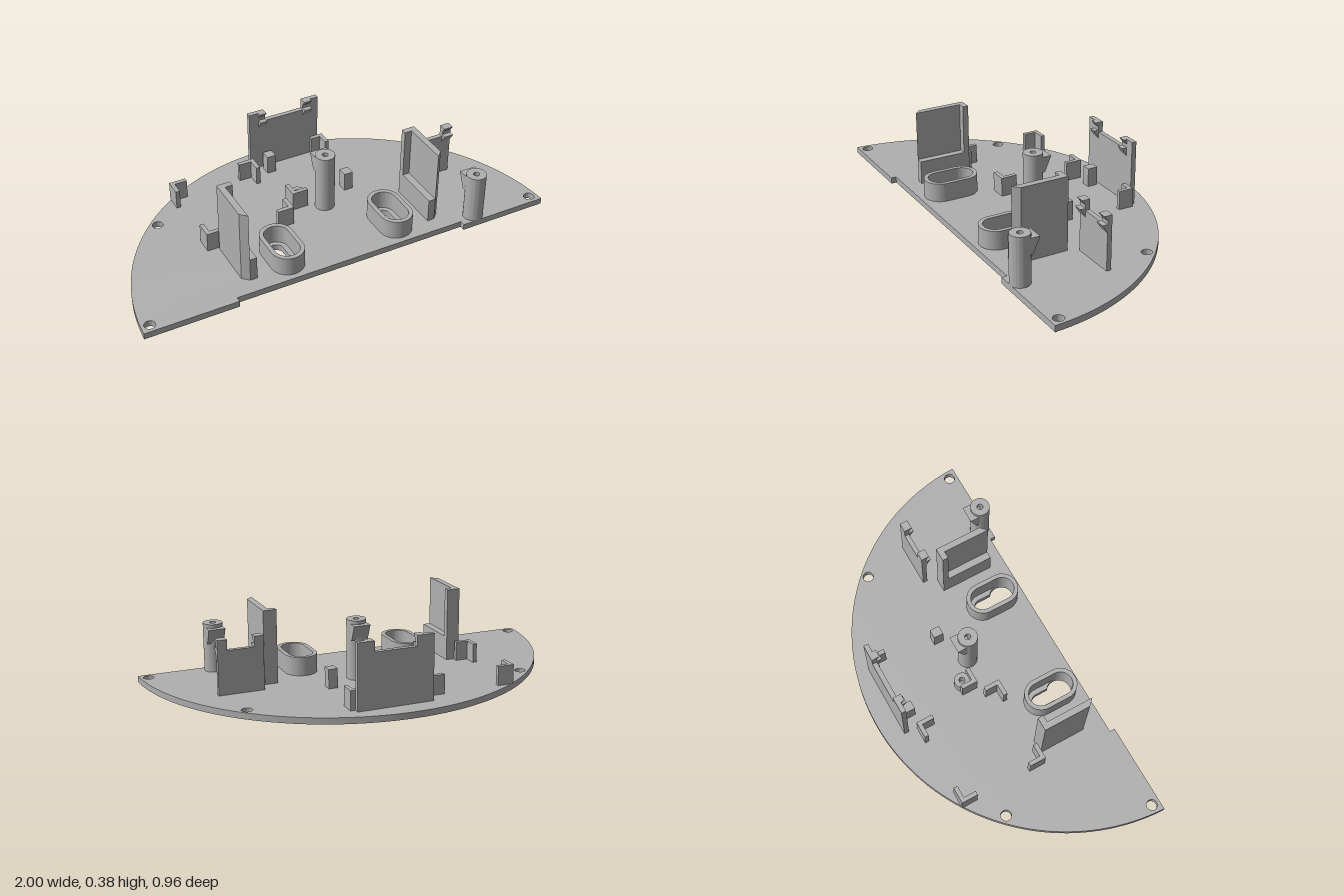
import * as THREE from 'three';
import { toCreasedNormals } from 'three/addons/utils/BufferGeometryUtils.js';

const grey = new THREE.MeshStandardMaterial({ color: 0xb0b0b0 });
grey.name = 'grey plastic';
const T = 0.03; // base plate thickness

export function createModel() {
  const model = new THREE.Group();
  model.name = 'mountingPlate';

  function add(name, geometry, parent = model) {
    const mesh = new THREE.Mesh(toCreasedNormals(geometry, 0.5), grey);
    mesh.name = name;
    parent.add(mesh);
    return mesh;
  }
  function group(name) {
    const g = new THREE.Group();
    g.name = name;
    model.add(g);
    return g;
  }
  const poly = (pts) => new THREE.Shape(pts.map((p) => new THREE.Vector2(p[0], p[1])));

  // Footprint drawn as (x, -z), raised from y0 to y1
  function rise(shape, y0, y1) {
    const g = new THREE.ExtrudeGeometry(shape, { depth: y1 - y0, bevelEnabled: false, curveSegments: 40 });
    return g.rotateX(-Math.PI / 2).translate(0, y0, 0);
  }
  const footprint = (pts) => poly(pts.map(([x, z]) => [x, -z]));

  // Side profile drawn as (z, y), running from x0 to x1
  function sideways(pts, x0, x1) {
    const g = new THREE.ExtrudeGeometry(poly(pts), { depth: x1 - x0, bevelEnabled: false });
    return g.rotateY(-Math.PI / 2).translate(x1, 0, 0);
  }
  function box(x0, x1, y0, y1, z0, z1) {
    return new THREE.BoxGeometry(x1 - x0, y1 - y0, z1 - z0)
      .translate((x0 + x1) / 2, (y0 + y1) / 2, (z0 + z1) / 2);
  }
  function stadium(path, cx, zBack, zFront, r) {
    path.absarc(cx, -zBack, r, 0, Math.PI, false);
    path.absarc(cx, -zFront, r, Math.PI, Math.PI * 2, false);
    path.closePath();
    return path;
  }

  // Half-round base with a shallow front recess, screw holes and keyholes
  const base = new THREE.Shape();
  base.absarc(0, -0.52, 1, 0.04, Math.PI - 0.04, false);
  [[-0.565, 0.48], [-0.565, 0.455], [0.565, 0.455], [0.565, 0.48]].forEach(([x, z]) => base.lineTo(x, -z));
  base.closePath();
  for (const s of [-1, 1]) {
    for (const [x, z] of [[0.957, 0.44], [0.677, -0.165]]) {
      base.holes.push(new THREE.Path().absarc(s * x, -z, 0.025, 0, Math.PI * 2, false));
    }
    const key = new THREE.Path();
    const a = Math.asin(0.033 / 0.057);
    key.absarc(s * 0.275, -0.243, 0.033, 0, Math.PI, false);
    key.absarc(s * 0.275, -0.353, 0.057, Math.PI / 2 + a, Math.PI * 2.5 - a, false);
    key.closePath();
    base.holes.push(key);
  }
  add('basePlate', rise(base, 0, T));

  for (const s of [-1, 1]) {
    // Raised collar round each keyhole
    const collar = stadium(new THREE.Shape(), s * 0.275, 0.247, 0.353, 0.077);
    collar.holes.push(stadium(new THREE.Path(), s * 0.275, 0.247, 0.353, 0.057));
    add('keyholeCollar', rise(collar, T, 0.12));

    // Upright side wall: tapered thin panel, rear flange and inner ledge
    const wall = group(s > 0 ? 'leftWall' : 'rightWall');
    const panel = [[0.433, 0.122], [0.497, 0.122], [0.497, 0.35], [0.467, 0.379], [0.467, 0.15], [0.433, 0.15]];
    add('wallPanel', rise(footprint(panel.map(([x, z]) => [s * x, z])), T, 0.38), wall);
    const xs = [s * 0.433, s * 0.467].sort((p, q) => p - q);
    add('wallLedge', box(xs[0], xs[1], T, 0.143, 0.15, 0.379), wall);
  }

  // L-shaped board corners: outer corner, then arm directions and lengths
  function corner(x, z, dx, dz, t = 0.02) {
    const sx = Math.sign(dx) * t, sz = Math.sign(dz) * t;
    const pts = [[x, z], [x + dx, z], [x + dx, z + sz], [x + sx, z + sz], [x + sx, z + dz], [x, z + dz]];
    add('cornerBracket', rise(footprint(pts), T, 0.122));
  }
  corner(-0.55, -0.322, 0.08, 0.08);
  corner(-0.118, -0.322, -0.08, 0.08);
  corner(-0.55, 0.112, 0.08, -0.08);
  corner(-0.118, 0.112, -0.08, -0.08);
  corner(-0.078, 0.02, 0.078, -0.078);
  corner(0.275, -0.36, -0.065, 0.073);
  add('stopBlock', box(0.208, 0.252, T, 0.122, -0.052, -0.004));
  add('stopBlock', box(-0.053, -0.009, T, 0.122, -0.345, -0.296));

  // Round screw posts with a blind pilot hole
  function post(name, x, z, r, h, hole) {
    const pts = [[r, T], [r, h], [hole, h], [hole, h - 0.05], [0, h - 0.05]];
    const g = new THREE.LatheGeometry(pts.map((p) => new THREE.Vector2(p[0], p[1])), 40);
    add(name, g.translate(x, 0, z));
  }
  post('shortPost', -0.027, -0.033, 0.037, 0.085, 0.014);
  for (const [x, z, h] of [[0.072, 0.052, 0.315], [0.642, 0.436, 0.262]]) {
    post('tallPost', x, z, 0.046, h, 0.014);
    // Wedge hook on the rear of the post
    const y = h - 0.017;
    add('postHook', sideways([[z - 0.072, y], [z - 0.04, y - 0.075], [z, y - 0.075], [z, y]], x - 0.04, x + 0.04));
  }

  // Notched clip plates with two small hooks on each prong
  function clip(name, x0, x1, n0, n1, top, z0, z1, hooks) {
    const g = group(name);
    const low = top - 0.05;
    const outline = poly([[x0, T], [x1, T], [x1, top], [n1, top], [n1, low], [n0, low], [n0, top], [x0, top]]);
    const plate = new THREE.ExtrudeGeometry(outline, { depth: z1 - z0, bevelEnabled: false });
    add('clipPlate', plate.translate(0, 0, z0), g);
    for (const [a, b] of hooks) {
      add('upperHook', sideways([[z1, top], [z1 + 0.017, top], [z1, top - 0.023]], a, b), g);
      add('lowerHook', sideways([[z1, top - 0.04], [z1 + 0.025, top - 0.04], [z1, top - 0.08]], a, b), g);
    }
  }
  clip('rearClip', -0.112, 0.252, -0.03, 0.172, 0.34, -0.385, -0.362, [[-0.065, -0.03], [0.172, 0.21]]);
  clip('sideClip', 0.52, 0.735, 0.563, 0.69, 0.287, 0.055, 0.077, [[0.52, 0.563], [0.69, 0.735]]);

  return model;
}
